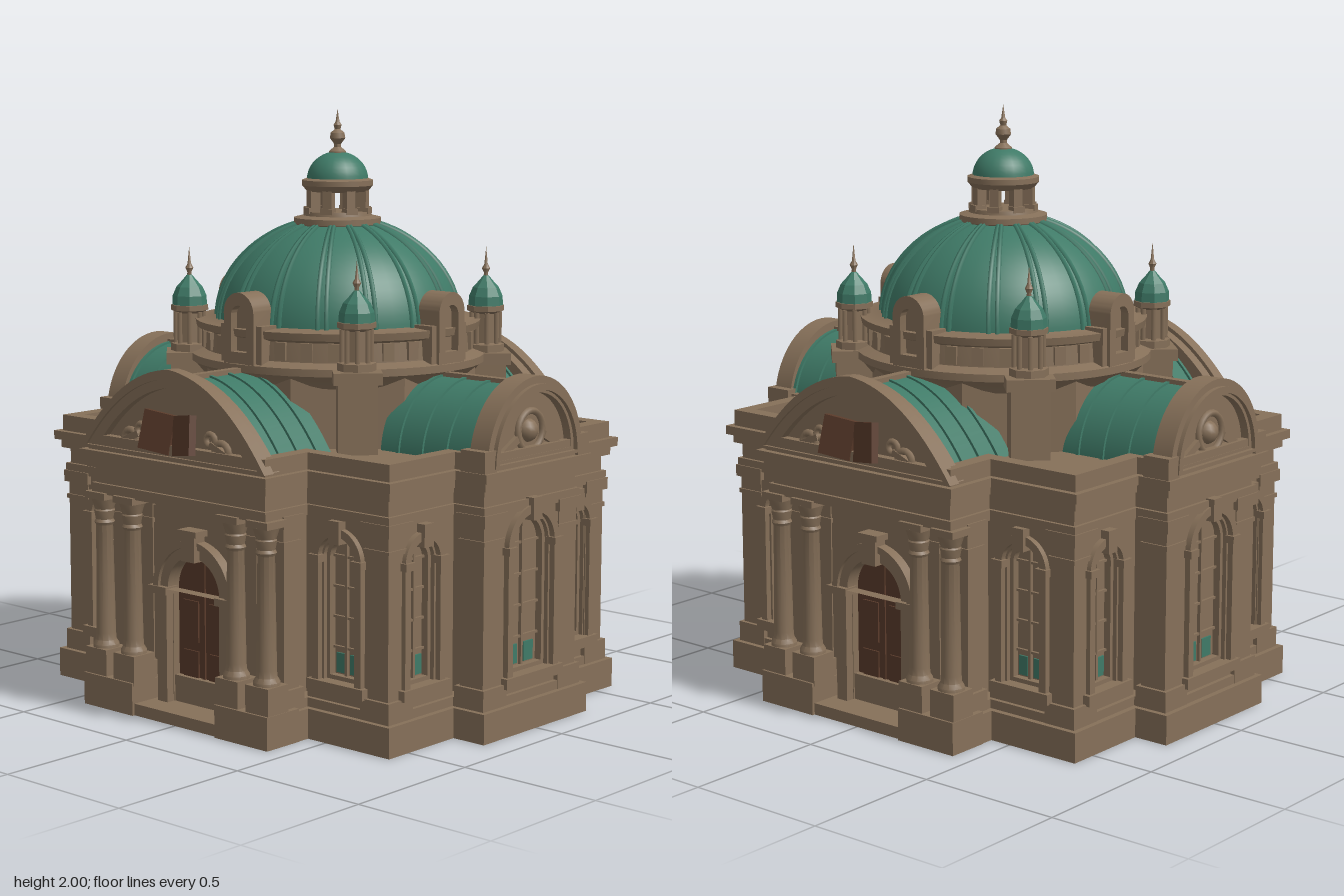
import * as THREE from 'three';
import { toCreasedNormals } from 'three/addons/utils/BufferGeometryUtils.js';

const mat = (name, color) => Object.assign(new THREE.MeshStandardMaterial({ color }), { name });
const stone = mat('stone', 0x867059);
const copper = mat('green copper', 0x3f7a67);
const wood = mat('dark wood', 0x5a3b2b);
const V = (x, y) => new THREE.Vector2(x, y);

export function createModel() {
  const model = new THREE.Group();
  model.name = 'domedChapel';

  // ---- helpers ----
  const add = (parent, name, geo, m = stone, x = 0, y = 0, z = 0) => {
    const mesh = new THREE.Mesh(geo, m);
    mesh.name = name;
    mesh.position.set(x, y, z);
    parent.add(mesh);
    return mesh;
  };
  // box given by its centre in x and z and its bottom and top in y
  const box = (p, name, x, y0, y1, z, w, d, m = stone) =>
    add(p, name, new THREE.BoxGeometry(w, y1 - y0, d), m, x, (y0 + y1) / 2, z);
  const extrude = (p, name, shape, z, depth, m = stone) =>
    add(p, name, toCreasedNormals(new THREE.ExtrudeGeometry(shape, { depth, bevelEnabled: false, curveSegments: 16 }), 0.5), m, 0, 0, z);
  const lathe = (p, name, pts, seg, m = stone, crease = 0.6) =>
    add(p, name, toCreasedNormals(new THREE.LatheGeometry(pts.map(q => V(...q)), seg), crease), m);
  const group = (name, x = 0, z = 0, ry = 0, parent = model) => {
    const g = new THREE.Group();
    g.name = name;
    g.position.set(x, 0, z);
    g.rotation.y = ry;
    parent.add(g);
    return g;
  };
  const arch = (hw, y0, spring, x = 0) => {
    const s = new THREE.Shape();
    s.moveTo(x - hw, y0).lineTo(x + hw, y0).lineTo(x + hw, spring);
    s.absarc(x, spring, hw, 0, Math.PI, false);
    return s;
  };
  const withHole = (s, hole) => { s.holes.push(hole); return s; };
  const rect = (hw, y0, y1) => new THREE.Shape([V(-hw, y0), V(hw, y0), V(hw, y1), V(-hw, y1)]);

  // ---- cross-shaped plan, grown or shrunk by o ----
  const plan = (o, az = 0.755) => {
    const [a, b, c, d, e, f] = [0.39, az, 0.735, 0.56, 0.86, 0.24].map(v => v + o);
    const q = [[e, f], [c, f], [c, d], [a, d], [a, b]];
    const r = [...q].reverse();
    return new THREE.Shape([
      ...q.map(([x, y]) => V(x, y)), ...r.map(([x, y]) => V(-x, y)),
      ...q.map(([x, y]) => V(-x, -y)), ...r.map(([x, y]) => V(x, -y))]);
  };
  const layer = (name, y0, y1, shape) => {
    const g = new THREE.ExtrudeGeometry(shape, { depth: y1 - y0, bevelEnabled: false });
    add(model, name, g.rotateX(-Math.PI / 2), stone, 0, y0, 0);
  };
  layer('plinth', 0, 0.1, plan(0.035, 0.625));
  layer('plinthMoulding', 0.1, 0.13, plan(0.015, 0.645));
  layer('wallCore', 0.12, 0.76, plan(-0.04, 0.66));
  layer('architrave', 0.73, 0.765, plan(0.012));
  layer('frieze', 0.765, 0.825, plan(0));
  layer('lowerCornice', 0.82, 0.85, plan(0.022));
  layer('cornice', 0.85, 0.88, plan(0.04));
  layer('roofDeck', 0.88, 0.9, plan(0.01));
  layer('parapet', 0.88, 0.935, withHole(plan(0.018), plan(-0.035)));

  // ---- pilasters and columns ----
  const pilaster = (x, z, w, name = 'pilaster') => {
    const g = group(name, x, z);
    box(g, 'shaft', 0, 0.1, 0.75, 0, w, w);
    box(g, 'base', 0, 0.1, 0.17, 0, w + 0.025, w + 0.025);
    box(g, 'neck', 0, 0.64, 0.655, 0, w + 0.012, w + 0.012);
    box(g, 'capital', 0, 0.7, 0.74, 0, w + 0.025, w + 0.025);
  };
  const columnProfile = [[0, 0.19], [0.045, 0.19], [0.045, 0.21], [0.036, 0.225], [0.034, 0.25], [0.029, 0.62],
    [0.035, 0.63], [0.03, 0.64], [0.036, 0.67], [0.033, 0.675], [0.046, 0.715], [0, 0.715]];
  for (const sx of [-1, 1]) for (const sz of [-1, 1]) {
    pilaster(sx * 0.692, sz * 0.517, 0.095);
    pilaster(sx * 0.817, sz * 0.197, 0.095);
    pilaster(sx * 0.36, sz * 0.64, 0.07);
    pilaster(sx * 0.24, sz * 0.64, 0.06);
  }

  // ---- arched window on a wall panel, local z pointing outwards ----
  const windowBay = (g, halfWall, x, hw, y0, spring) => {
    const wall = rect(halfWall, 0.12, 0.75);
    extrude(g, 'wallPanel', withHole(wall, arch(hw, y0, spring, x)), 0, 0.04);
    extrude(g, 'windowFrame', withHole(arch(hw + 0.035, y0, spring, x), arch(hw + 0.008, y0, spring, x)), 0.035, 0.025);
    extrude(g, 'innerFrame', withHole(arch(hw + 0.004, y0, spring, x), arch(hw - 0.014, y0 + 0.014, spring, x)), 0, 0.025);
    box(g, 'sill', x, y0 - 0.035, y0, 0.045, 2 * hw + 0.1, 0.05);
    for (const s of [-1, 1]) box(g, 'impost', x + s * (hw + 0.02), spring - 0.015, spring + 0.01, 0.05, 0.045, 0.04);
    box(g, 'keystone', x, spring + hw - 0.015, spring + hw + 0.06, 0.05, 0.045, 0.045);
    box(g, 'mullion', x, y0, spring + hw, 0.005, 0.01, 0.014);
    for (let i = 1; i <= 4; i++) {
      const y = y0 + i * (spring - y0) / 4;
      box(g, 'glazingBar', x, y, y + 0.008, 0.004, 2 * hw, 0.012);
    }
    for (const s of [-1, 1])
      box(g, 'lowerPane', x + s * hw * 0.42, y0 + 0.02, y0 + 0.085, 0.003, hw * 0.5, 0.006, copper);
  };
  for (const sx of [-1, 1]) {
    for (const sz of [-1, 1]) {
      const front = group('cornerWindow', sx * 0.5625, sz * 0.52, sz > 0 ? 0 : Math.PI);
      windowBay(front, 0.172, -0.03 * sx * sz, 0.07, 0.2, 0.6);
      windowBay(group('cornerSideWindow', sx * 0.695, sz * 0.4, sx * Math.PI / 2), 0.16, 0, 0.065, 0.2, 0.6);
    }
    windowBay(group('transeptWindow', sx * 0.82, 0, sx * Math.PI / 2), 0.24, 0, 0.1, 0.19, 0.61);
  }

  // ---- entrance portico, front and back ----
  const gableShape = (hw, y0, top) => {
    const s = new THREE.Shape();
    s.moveTo(-hw, y0).lineTo(hw, y0);
    s.quadraticCurveTo(hw * 0.55, top - 0.02, 0, top);
    s.quadraticCurveTo(-hw * 0.55, top - 0.02, -hw, y0);
    return s;
  };
  const vault = (g, shape, z0, z1, top, hw, seams) => {
    extrude(g, 'vaultRoof', shape, z0, z1 - z0, copper);
    for (let i = 0; i < seams; i++) {
      const seam = extrude(g, 'roofSeam', shape, z0 + (i + 0.7) * (z1 - z0) / seams, 0.012, copper);
      seam.scale.set(1 + 0.008 / hw, 1.006, 1);
    }
    box(g, 'ridge', 0, top - 0.02, top + 0.014, (z0 + z1) / 2, 0.03, z1 - z0);
  };
  for (const s of [1, -1]) {
    const g = group('portico', 0, 0, s > 0 ? 0 : Math.PI);
    extrude(g, 'doorWall', withHole(rect(0.385, 0.04, 0.75), arch(0.12, 0.04, 0.43)), 0.62, 0.045);
    extrude(g, 'door', arch(0.122, 0.04, 0.43), 0.62, 0.018, wood);
    box(g, 'doorMeetingStile', 0, 0.04, 0.54, 0.64, 0.012, 0.008, wood);
    for (const x of [-0.06, 0.06]) for (const y of [0.08, 0.25])
      box(g, 'doorPanel', x, y, y + 0.14, 0.64, 0.07, 0.008, wood);
    extrude(g, 'doorArch', withHole(arch(0.165, 0.43, 0.43), arch(0.12, 0.43, 0.43)), 0.66, 0.03);
    extrude(g, 'doorHood', withHole(arch(0.178, 0.43, 0.43), arch(0.155, 0.43, 0.43)), 0.66, 0.042);
    box(g, 'doorKeystone', 0, 0.54, 0.64, 0.685, 0.06, 0.06);
    box(g, 'keystoneCap', 0, 0.625, 0.645, 0.685, 0.085, 0.07);
    box(g, 'doorStep', 0, 0, 0.04, 0.7, 0.44, 0.16);
    for (const x of [-1, 1]) {
      box(g, 'doorJamb', x * 0.145, 0.04, 0.41, 0.675, 0.045, 0.04);
      box(g, 'doorImpost', x * 0.155, 0.41, 0.435, 0.68, 0.085, 0.055);
      box(g, 'columnPlinth', x * 0.31, 0, 0.11, 0.715, 0.235, 0.15);
      for (const cx of [0.24, 0.375]) {
        box(g, 'columnPedestal', x * cx, 0.1, 0.2, 0.735, 0.1, 0.095);
        const col = lathe(g, 'column', columnProfile, 12);
        col.position.set(x * cx, 0, 0.735);
        box(g, 'columnAbacus', x * cx, 0.712, 0.735, 0.735, 0.095, 0.09);
      }
      // carved scrolls beside the book
      add(g, 'scroll', new THREE.TorusGeometry(0.03, 0.012, 6, 14), stone, x * 0.21, 0.935, 0.765);
      add(g, 'scroll', new THREE.TorusGeometry(0.02, 0.01, 6, 12), stone, x * 0.16, 0.97, 0.765);
      const stem = box(g, 'garland', x * 0.23, 0.92, 0.94, 0.765, 0.14, 0.025);
      stem.rotation.z = -x * 0.4;
      // open book
      const page = box(g, 'bookHalf', x * 0.06, 0.91, 1.04, 0.785, 0.115, 0.025, wood);
      page.rotation.set(-0.12, -x * 0.3, x * 0.12);
    }
    const inner = gableShape(0.32, 0.935, 1.125);
    extrude(g, 'gableFrame', withHole(gableShape(0.41, 0.89, 1.17), inner), 0.71, 0.075);
    extrude(g, 'gableCap', withHole(gableShape(0.425, 0.89, 1.185), gableShape(0.395, 0.9, 1.155)), 0.75, 0.045);
    extrude(g, 'tympanum', inner, 0.72, 0.035);
    vault(g, gableShape(0.345, 0.88, 1.145), 0.38, 0.72, 1.145, 0.345, 4);
  }

  // ---- side arms with round gables ----
  const roundGable = (hw, y0, h) => {
    const s = new THREE.Shape();
    s.moveTo(hw, y0).absellipse(0, y0, hw, h, 0, Math.PI, false);
    return s;
  };
  for (const s of [1, -1]) {
    const g = group('sideArm', 0, 0, s * Math.PI / 2);
    extrude(g, 'gableArch', withHole(roundGable(0.25, 0.89, 0.275), roundGable(0.19, 0.91, 0.2)), 0.805, 0.075);
    extrude(g, 'gableMoulding', withHole(roundGable(0.225, 0.89, 0.25), roundGable(0.205, 0.9, 0.22)), 0.87, 0.025);
    extrude(g, 'gableFill', roundGable(0.195, 0.9, 0.21), 0.81, 0.04);
    add(g, 'medallion', new THREE.TorusGeometry(0.065, 0.012, 6, 24), stone, 0, 0.985, 0.855);
    add(g, 'medallionBoss', new THREE.SphereGeometry(0.04, 12, 8), stone, 0, 0.985, 0.84);
    for (const x of [-1, 1]) {
      box(g, 'gableFoot', x * 0.245, 0.88, 0.95, 0.84, 0.06, 0.1);
      const leaf = box(g, 'carvedLeaf', x * 0.11, 0.93, 0.955, 0.855, 0.09, 0.02);
      leaf.rotation.z = -x * 0.5;
    }
    vault(g, roundGable(0.235, 0.88, 0.25), 0.42, 0.82, 1.13, 0.235, 4);
  }

  // ---- drum and dome ----
  const top = group('domeTower', 0, -0.02);
  const drum = group('drum', 0, 0, 0, top);
  drum.scale.z = 0.96;
  const base = add(drum, 'octagonBase', new THREE.CylinderGeometry(0.5, 0.5, 0.26, 8).rotateY(Math.PI / 8).toNonIndexed(), stone, 0, 1.01, 0);
  base.geometry.computeVertexNormals();
  lathe(drum, 'drumWall', [[0.47, 1.1], [0.5, 1.135], [0.515, 1.145], [0.515, 1.17], [0.47, 1.185], [0.465, 1.25],
    [0.495, 1.26], [0.5, 1.285], [0.43, 1.29], [0.4, 1.31]], 48);
  for (let i = 0; i < 32; i++) {
    const bay = group('drumPanel', 0, 0, (i + 0.5) * Math.PI / 16, drum);
    box(bay, 'panel', 0, 1.19, 1.25, 0.468, 0.04, 0.02);
  }
  const domePoint = a => [0.428 * Math.cos(a), 1.275 + 0.355 * Math.sin(a)];
  const domePts = Array.from({ length: 17 }, (_, i) => domePoint(i / 16 * 1.3));
  lathe(drum, 'dome', domePts, 48, copper);
  const ribPath = new THREE.CatmullRomCurve3(domePts.map(([r, y]) => new THREE.Vector3(0, y, r)));
  const ribGeo = new THREE.TubeGeometry(ribPath, 16, 0.009, 5);
  for (let i = 0; i < 16; i++) for (const o of [-0.035, 0.035])
    add(drum, 'domeRib', ribGeo, copper).rotation.y = (i + 0.5) * Math.PI / 8 + o;

  // arched niches on the four axes
  for (let i = 0; i < 4; i++) {
    const g = group('drumNiche', 0, 0, i * Math.PI / 2, drum);
    extrude(g, 'nicheFrame', withHole(arch(0.068, 1.17, 1.34), arch(0.035, 1.21, 1.33)), 0.42, 0.09);
    extrude(g, 'nicheBack', arch(0.05, 1.18, 1.33), 0.42, 0.06);
    for (const x of [-1, 1]) box(g, 'nicheShoulder', x * 0.075, 1.17, 1.3, 0.46, 0.035, 0.075);
  }

  // ---- corner turrets ----
  for (const sx of [-1, 1]) for (const sz of [-1, 1]) {
    const g = group('turret', sx * 0.385, sz * 0.335, Math.PI / 4, top);
    box(g, 'pedestal', 0, 0.88, 1.13, 0, 0.13, 0.13);
    box(g, 'pedestalCap', 0, 1.13, 1.17, 0, 0.16, 0.16);
    lathe(g, 'turretBody', [[0.065, 1.165], [0.065, 1.195], [0.042, 1.2], [0.042, 1.3], [0.064, 1.31], [0.064, 1.328], [0, 1.335]], 8, stone, 0.3);
    for (let i = 0; i < 8; i++) {
      const a = i * Math.PI / 4;
      add(g, 'colonnette', new THREE.CylinderGeometry(0.009, 0.009, 0.11, 6), stone, 0.048 * Math.sin(a), 1.25, 0.048 * Math.cos(a));
    }
    lathe(g, 'turretDome', [[0.06, 1.328], [0.058, 1.36], [0.045, 1.39], [0.022, 1.415], [0.01, 1.43], [0, 1.435]], 8, copper, 0.3);
    lathe(g, 'turretSpike', [[0.009, 1.42], [0.007, 1.44], [0.014, 1.455], [0.006, 1.47], [0, 1.53]], 8);
  }

  // ---- lantern ----
  const lantern = group('lantern', 0, 0, 0, top);
  lathe(lantern, 'lanternBase', [[0.13, 1.59], [0.15, 1.61], [0.15, 1.63], [0.118, 1.638], [0.115, 1.652], [0, 1.652]], 32);
  for (let i = 0; i < 8; i++) {
    const bay = group('lanternBay', 0, 0, (i + 0.5) * Math.PI / 4, lantern);
    box(bay, 'post', 0, 1.645, 1.735, 0.09, 0.032, 0.035);
    box(bay, 'postFoot', 0, 1.645, 1.665, 0.097, 0.042, 0.04);
  }
  lathe(lantern, 'lanternCornice', [[0, 1.72], [0.105, 1.72], [0.122, 1.74], [0.122, 1.758], [0.1, 1.766], [0, 1.766]], 32);
  lathe(lantern, 'lanternDome', Array.from({ length: 11 }, (_, i) => {
    const a = i / 10 * Math.PI / 2;
    return [Math.max(0, 0.105 * Math.cos(a)), 1.76 + 0.095 * Math.sin(a)];
  }), 24, copper);
  lathe(lantern, 'finial', [[0.03, 1.84], [0.03, 1.855], [0.012, 1.87], [0.012, 1.88], [0.027, 1.9], [0.024, 1.918],
    [0.01, 1.93], [0.014, 1.945], [0.007, 1.955], [0, 2]], 12);

  return model;
}
